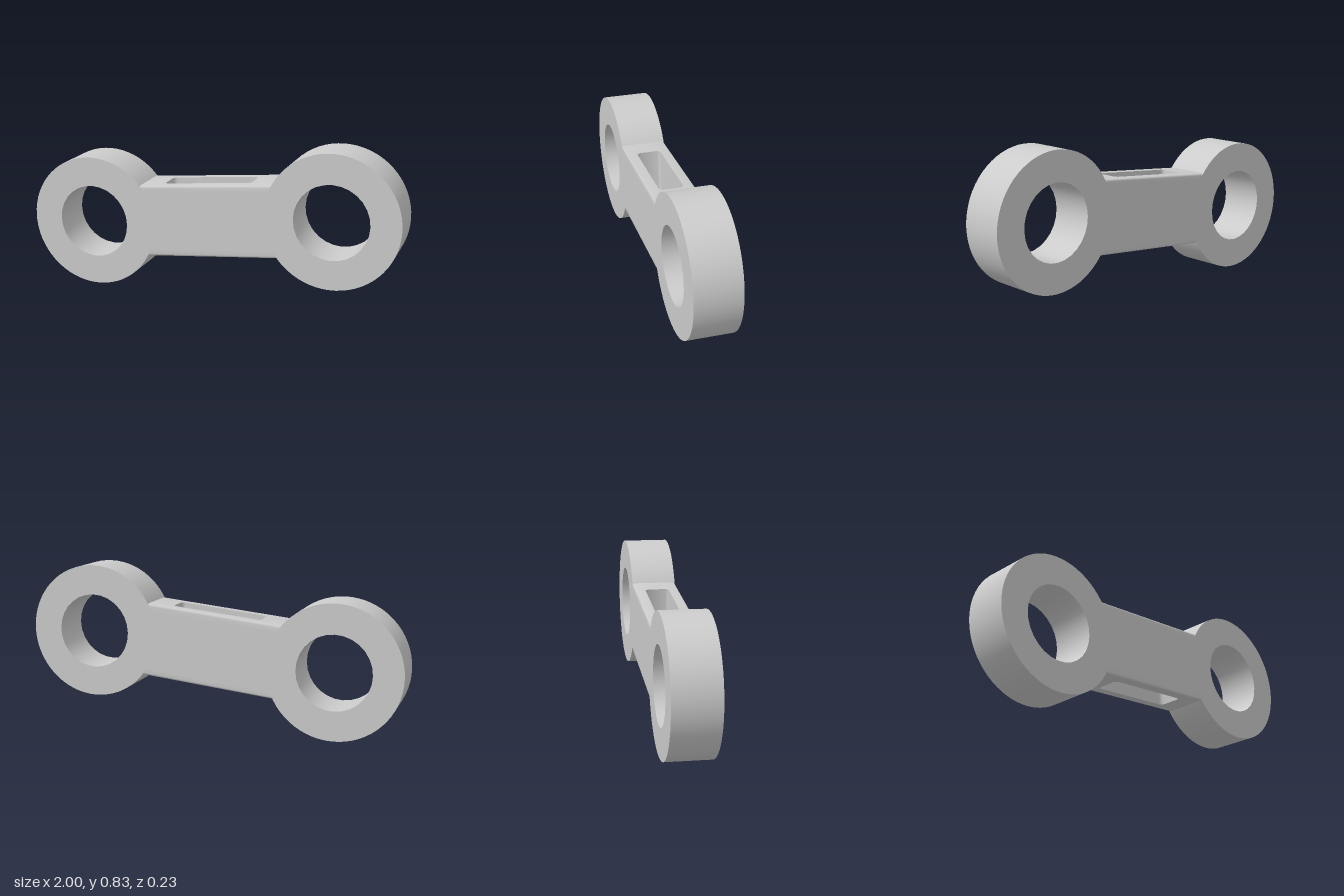
import * as THREE from 'three';
import { toCreasedNormals } from 'three/addons/utils/BufferGeometryUtils.js';

const R = 0.35, BORE = 0.195, W = 0.117;      // ring radii, half thickness
const RING = { x: 0.65, y: 0.418, rise: 0.0665 };
const H = 0.191, FILLET = 0.012;              // bar half height, edge rounding
const SLOT = { x: 0.238, z: 0.063, r: 0.022 };

const material = new THREE.MeshStandardMaterial({ color: 0xcccccc });

const circle = (r, n) => Array.from({ length: n }, (_, i) => {
  const a = (i / n) * Math.PI * 2;
  return new THREE.Vector2(r * Math.cos(a), r * Math.sin(a));
});

function part(name, geometry) {
  const mesh = new THREE.Mesh(toCreasedNormals(geometry, 0.6), material);
  mesh.name = name;
  return mesh;
}

// Thick ring with a through bore
function ringGeometry() {
  const shape = new THREE.Shape(circle(R, 64));
  shape.holes.push(new THREE.Path(circle(BORE, 28)));
  const g = new THREE.ExtrudeGeometry(shape, { depth: 2 * W, bevelEnabled: false });
  return g.translate(0, 0, -W);
}

// Bar with a vertical slot, rounded long edges and ends cut to fit the rings
function barGeometry() {
  const endX = 0.36;
  const reach = Math.hypot(RING.x, RING.rise);
  const shape = new THREE.Shape([[-endX, -W], [endX, -W], [endX, W], [-endX, W]]
    .map(([x, z]) => new THREE.Vector2(x, z)));
  const { x, z, r } = SLOT;
  const slot = new THREE.Path();
  slot.absarc(x - r, z - r, r, 0, Math.PI / 2);
  slot.absarc(-x + r, z - r, r, Math.PI / 2, Math.PI);
  slot.absarc(-x + r, -z + r, r, Math.PI, Math.PI * 1.5);
  slot.absarc(x - r, -z + r, r, Math.PI * 1.5, Math.PI * 2);
  shape.holes.push(slot);

  // Heights of the layers: dense in the fillets, even between them
  const F = 4, M = 14, steps = 2 * F + M, levels = [];
  for (let i = 0; i <= steps; i++) {
    const k = Math.min(i, steps - i);
    const y = k < F
      ? H - FILLET + FILLET * Math.cos((k / F) * Math.PI / 2)
      : (H - FILLET) * (1 - (2 * (k - F)) / M);
    levels.push(i <= steps / 2 ? -y : y);
  }

  const g = new THREE.ExtrudeGeometry(shape,
    { depth: steps, steps, bevelEnabled: false, curveSegments: 4 });
  g.rotateX(-Math.PI / 2);
  const p = g.attributes.position;
  for (let i = 0; i < p.count; i++) {
    const y = levels[Math.round(p.getY(i))];
    p.setY(i, y);
    if (Math.abs(p.getX(i)) < endX - 0.01) continue;
    p.setX(i, Math.sign(p.getX(i)) * (reach - Math.sqrt((R - 0.002) ** 2 - y * y)));
    const over = Math.max(0, Math.abs(y) - (H - FILLET));
    const half = W - FILLET + Math.sqrt(Math.max(0, FILLET ** 2 - over ** 2));
    p.setZ(i, Math.sign(p.getZ(i)) * half);
  }
  return g;
}

export function createModel() {
  const group = new THREE.Group();
  group.name = 'linkArm';

  for (const [name, s] of [['leftRing', 1], ['rightRing', -1]]) {
    const ring = part(name, ringGeometry());
    ring.position.set(s * RING.x, RING.y + s * RING.rise, 0);
    group.add(ring);
  }

  const bar = part('slottedBar', barGeometry());
  bar.position.y = RING.y + 0.002;
  bar.rotation.z = Math.atan2(RING.rise, RING.x);
  group.add(bar);

  return group;
}
